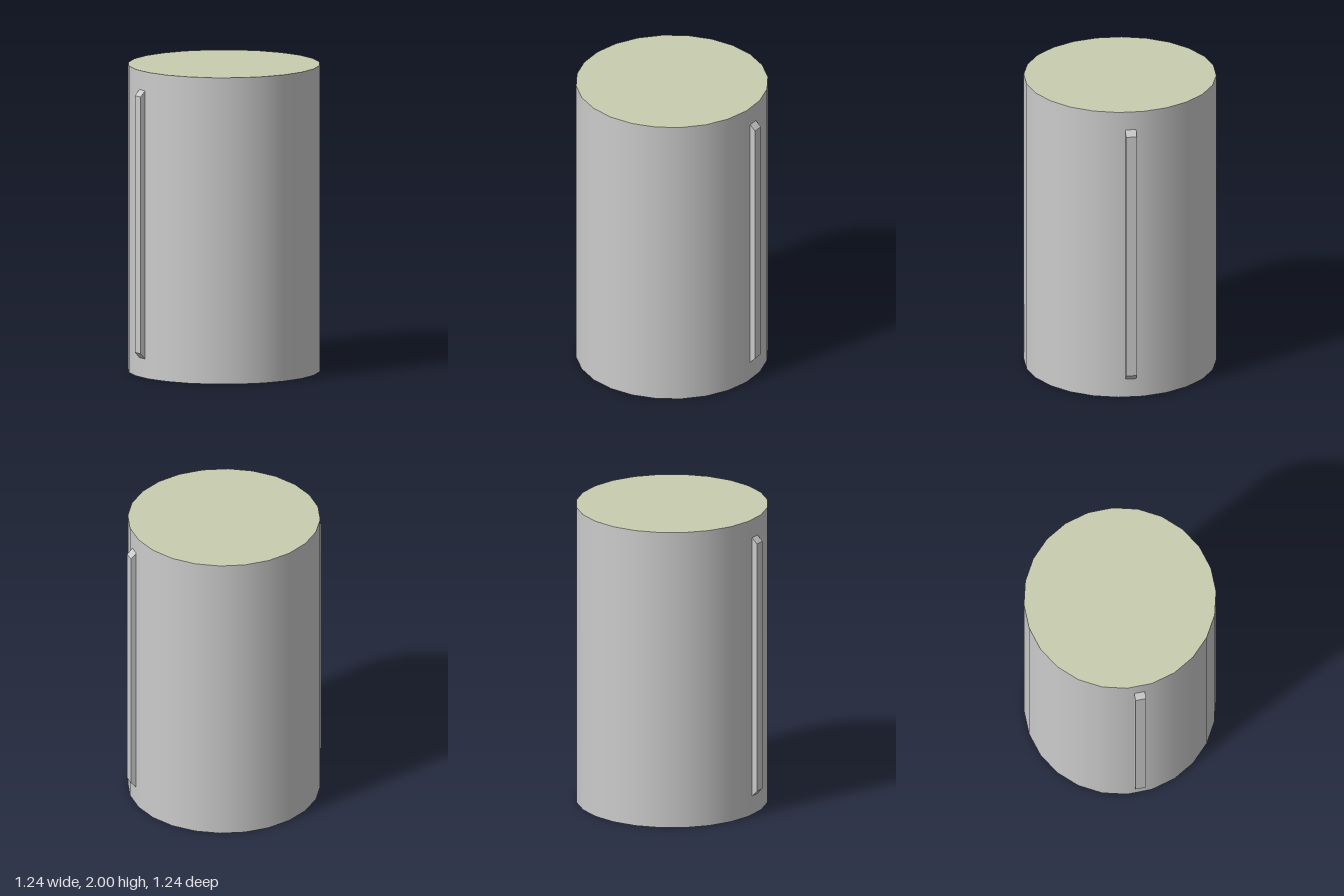
import * as THREE from 'three';

const RADIUS = 0.622, SIDES = 24, HEIGHT = 2;

export function createModel() {
  const model = new THREE.Group();
  const grey = new THREE.MeshStandardMaterial({ color: 0xcccccc });
  const olive = new THREE.MeshStandardMaterial({ color: 0xc8cdaf });

  // Smooth drum with tinted top and bottom faces
  const drum = new THREE.Mesh(
    new THREE.CylinderGeometry(RADIUS, RADIUS, HEIGHT, SIDES),
    [grey, olive, olive]
  );
  drum.name = 'drum';
  drum.position.y = HEIGHT / 2;
  model.add(drum);

  // Rail profile: flat against one facet, with sloped ends
  const inner = RADIUS * Math.cos(Math.PI / SIDES), outer = inner + 0.036;
  const profile = new THREE.Shape([
    new THREE.Vector2(inner, 0.125),
    new THREE.Vector2(outer, 0.162),
    new THREE.Vector2(outer, 1.838),
    new THREE.Vector2(inner, 1.875),
  ]);
  const width = 0.07;
  const railGeometry = new THREE.ExtrudeGeometry(profile, { depth: width, bevelEnabled: false });
  railGeometry.translate(0, 0, -width / 2);

  // Two rails on opposite facets
  ['leftRail', 'rightRail'].forEach((name, i) => {
    const rail = new THREE.Mesh(railGeometry, grey);
    rail.name = name;
    rail.rotation.y = Math.PI / 8 + i * Math.PI;
    model.add(rail);
  });

  return model;
}
